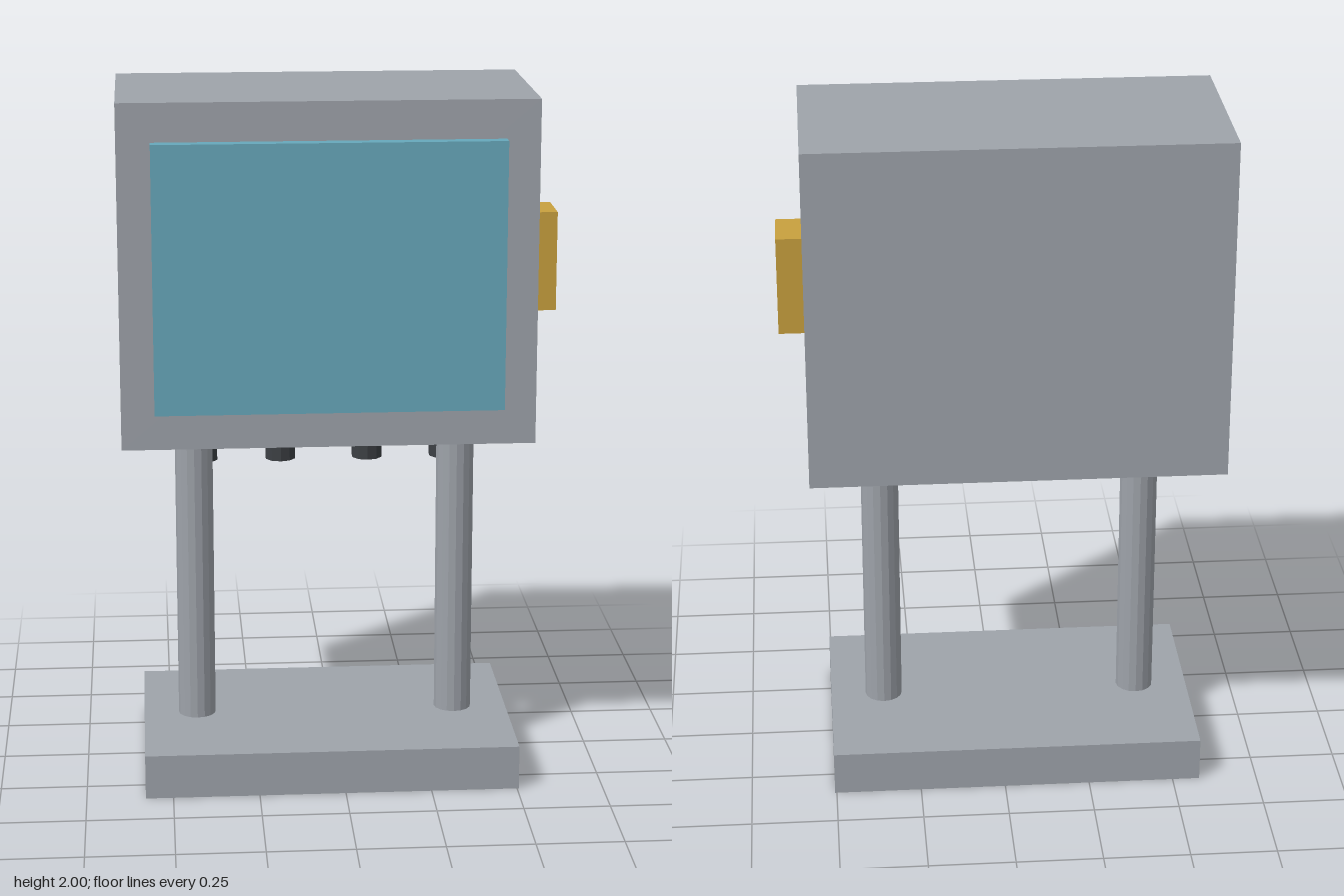
import * as THREE from 'three';

export function createModel() {
  const group = new THREE.Group();
  group.name = 'cabinetOnPosts';

  const material = (name, color, flatShading = false) => {
    const m = new THREE.MeshStandardMaterial({ color, flatShading });
    m.name = name;
    return m;
  };
  const grey = material('grey metal', 0x9ea3aa, true);
  const blue = material('blue panel', 0x67a8bb, true);
  const amber = material('amber', 0xc8a03e, true);
  const dark = material('dark plastic', 0x3c4044, true);

  const add = (name, geometry, mat, x, y, z) => {
    const mesh = new THREE.Mesh(geometry, mat);
    mesh.name = name;
    mesh.position.set(x, y, z);
    group.add(mesh);
  };
  // Box given by its lower and upper corners
  const box = (name, mat, [x0, y0, z0], [x1, y1, z1]) =>
    add(name, new THREE.BoxGeometry(x1 - x0, y1 - y0, z1 - z0), mat,
      (x0 + x1) / 2, (y0 + y1) / 2, (z0 + z1) / 2);
  // Upright cylinder between two heights
  const post = (name, mat, r, sides, x, z, y0, y1) =>
    add(name, new THREE.CylinderGeometry(r, r, y1 - y0, sides), mat, x, (y0 + y1) / 2, z);

  // Foot plate, cabinet, front panel and side handle
  box('base', grey, [-0.58, 0, -0.352], [0.505, 0.13, 0.352]);
  box('cabinet', grey, [-0.63, 1.01, -0.352], [0.552, 2, 0.225]);
  box('frontPanel', blue, [-0.535, 1.12, 0.227], [0.457, 1.89, 0.267]);
  box('sideBox', amber, [0.552, 1.365, -0.078], [0.625, 1.652, 0.078]);

  // Two supporting posts
  const centre = -0.038;
  for (const side of [-1, 1]) {
    post(side > 0 ? 'leftPost' : 'rightPost', grey, 0.055, 16, centre + side * 0.384, 0, 0.13, 1.01);
  }

  // Row of cable glands under the cabinet
  for (const offset of [-0.357, -0.128, 0.128, 0.357]) {
    post('cableGland', dark, 0.045, 10, centre + offset, -0.06, 0.9, 1.01);
  }

  return group;
}
